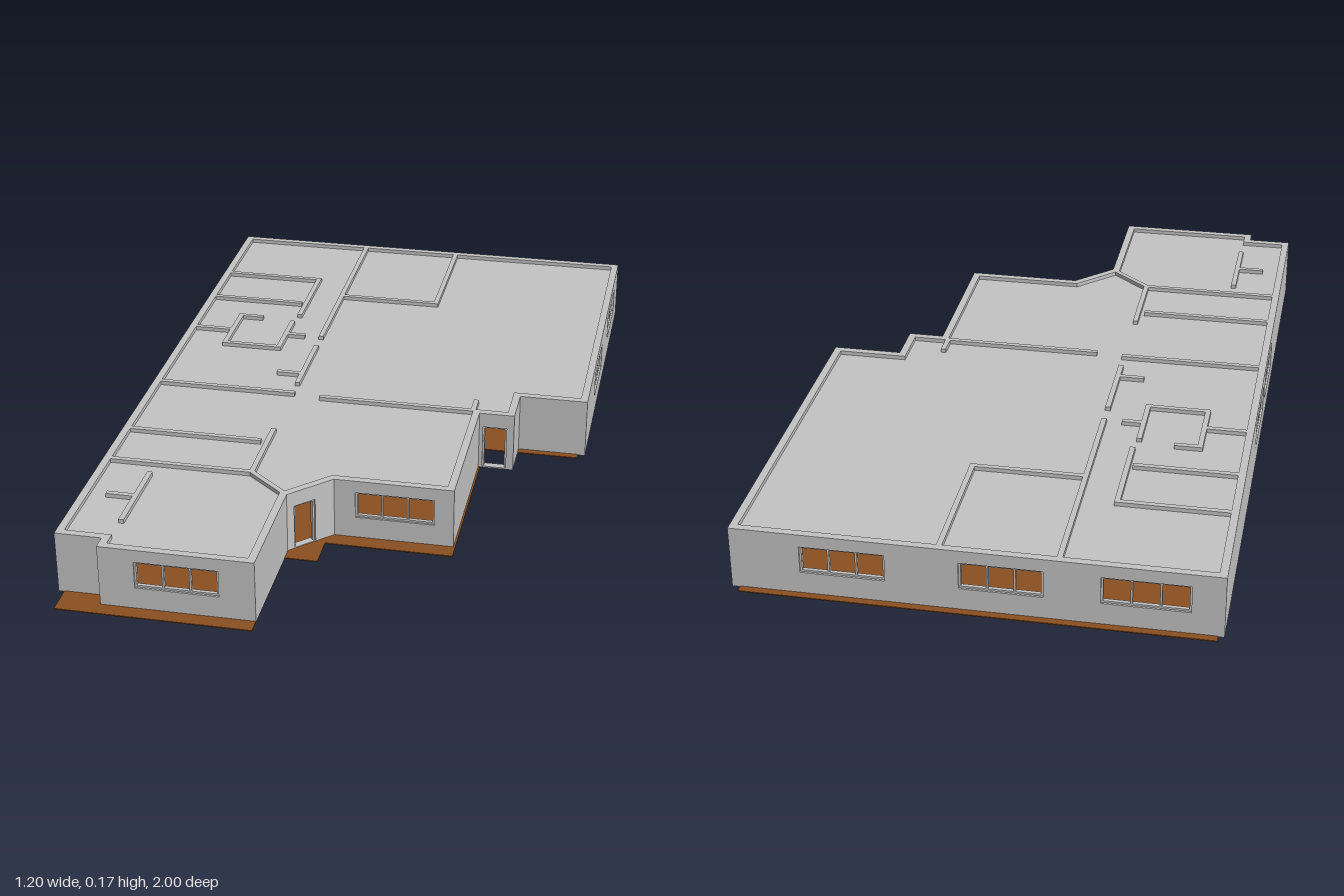
import * as THREE from 'three';

const H = 0.168, BASE = 0.002, T = 0.02, T_IN = 0.014;

export function createModel() {
  const model = new THREE.Group();
  model.name = 'singleStoreyBuilding';
  const mat = (name, color) => new THREE.MeshStandardMaterial({ name, color });
  const plaster = mat('grey plaster', 0xc4c4c4);
  const wood = mat('brown floor', 0x8b4f20);
  const tile = mat('grey tile', 0x868686);

  const add = (name, geo, material, parent = model) => {
    const mesh = new THREE.Mesh(geo, material);
    mesh.name = name;
    parent.add(mesh);
    return mesh;
  };
  // Horizontal plate from a plan outline of [x, z] points
  const plate = (name, pts, y, h, material) => {
    const shape = new THREE.Shape(pts.map(([x, z]) => new THREE.Vector2(x, -z)));
    const geo = new THREE.ExtrudeGeometry(shape, { depth: h, bevelEnabled: false });
    geo.rotateX(-Math.PI / 2).translate(0, y, 0);
    return add(name, geo, material);
  };
  const rect = (x0, z0, x1, z1) => [[x0, z0], [x1, z0], [x1, z1], [x0, z1]];

  // Floor, tiled rooms and recessed roof
  plate('floor', [[-0.585, -1], [0.58, -1], [0.58, 0], [0.325, 0], [0.325, 0.575], [-0.005, 0.575],
    [-0.005, 0.665], [-0.09, 0.665], [-0.09, 1], [-0.585, 1]], 0.001, 0.003, wood);
  plate('backTiledFloor', rect(-0.59, -0.69, -0.31, -0.2), 0, 0.005, tile);
  plate('frontTiledFloor', rect(-0.59, 0.36, -0.21, 0.53), 0, 0.005, tile);

  const outline = [[-0.6, -0.98], [0.6, -0.98], [0.6, -0.02], [0.415, -0.02], [0.415, 0.1], [0.32, 0.1],
    [0.32, 0.53], [0.01, 0.53], [-0.09, 0.63], [-0.09, 0.96], [-0.48, 0.96], [-0.48, 0.92], [-0.6, 0.92]];
  plate('roof', outline, 0.152, 0.005, plaster);

  // Openings by wall: start and end distance along it
  const windows = {
    0: [[0.08, 0.294], [0.432, 0.636], [0.816, 1.026]],
    1: [[0.115, 0.325], [0.515, 0.72]],
    6: [[0.05, 0.255]],
    9: [[0.09, 0.3]],
    12: [[0.625, 0.84], [0.89, 1.11]],
  };
  const doors = { 4: [[0.02, 0.085]], 7: [[0.057, 0.12]] };
  const WIN = [0.062, 0.134], DOOR = [0.006, 0.127];

  const hole = (a, b, [y0, y1]) => new THREE.Path([[a, y0], [a, y1], [b, y1], [b, y0]]
    .map(([x, y]) => new THREE.Vector2(x, y)));

  // Frame bars around an opening, with evenly spaced uprights
  const frame = (name, a, b, [y0, y1], panes, parent) => {
    const g = new THREE.Group();
    g.name = name;
    parent.add(g);
    const w = 0.005, d = 0.01;
    const bar = (x, y, sx, sy) =>
      add('frameBar', new THREE.BoxGeometry(sx, sy, d).translate(x, y, T / 2), plaster, g);
    for (let i = 0; i <= panes; i++) {
      bar(a + w / 2 + (b - a - w) * i / panes, (y0 + y1) / 2, w, y1 - y0);
    }
    bar((a + b) / 2, y1 - w / 2, b - a, w);
    if (panes > 1) bar((a + b) / 2, y0 + w / 2, b - a, w);
  };

  // Outer walls, thickened inwards and joined at inner corners
  const n = outline.length;
  const dirAt = (i) => {
    const p = outline[(i + n) % n], q = outline[(i + 1 + n) % n];
    return new THREE.Vector2(q[0] - p[0], q[1] - p[1]);
  };
  const joint = (i) => {
    const d0 = dirAt(i - 1).normalize(), d1 = dirAt(i).normalize();
    const turn = Math.atan2(d0.cross(d1), d0.dot(d1));
    return turn < 0 ? T * Math.tan(-turn / 2) : 0;
  };
  outline.forEach(([x, z], i) => {
    const dir = dirAt(i), len = dir.length();
    const s0 = -joint(i), s1 = len + joint(i + 1);
    const shape = new THREE.Shape([[s0, BASE], [s1, BASE], [s1, H], [s0, H]]
      .map(([a, b]) => new THREE.Vector2(a, b)));
    const g = new THREE.Group();
    g.name = 'outerWall' + (i + 1);
    g.position.set(x, 0, z);
    g.rotation.y = Math.atan2(-dir.y, dir.x);
    model.add(g);
    for (const [a, b] of windows[i] || []) {
      shape.holes.push(hole(a, b, WIN));
      frame('windowFrame', a, b, WIN, 3, g);
    }
    for (const [a, b] of doors[i] || []) {
      shape.holes.push(hole(a, b, DOOR));
      frame('doorFrame', a, b, DOOR, 1, g);
    }
    add('wallPanel', new THREE.ExtrudeGeometry(shape, { depth: T, bevelEnabled: false }), plaster, g);
  });

  // Partition walls: x0, z0, x1, z1
  const partitions = [
    [0.085, -0.97, 0.085, -0.585], [-0.205, -0.585, 0.085, -0.585], [-0.205, -0.97, -0.205, -0.295],
    [-0.59, -0.69, -0.3, -0.69], [-0.3, -0.69, -0.3, -0.43],
    [-0.59, -0.51, -0.32, -0.51],
    [-0.59, -0.29, -0.47, -0.29], [-0.31, -0.29, -0.26, -0.29],
    [-0.47, -0.39, -0.47, -0.2], [-0.47, -0.39, -0.41, -0.39],
    [-0.31, -0.37, -0.31, -0.2], [-0.47, -0.2, -0.31, -0.2],
    [-0.59, 0.075, -0.205, 0.075], [-0.205, -0.22, -0.205, 0.01], [-0.27, -0.045, -0.205, -0.045],
    [-0.59, 0.36, -0.23, 0.36],
    [-0.59, 0.53, -0.205, 0.53], [-0.205, 0.3, -0.205, 0.53], [-0.205, 0.53, -0.1, 0.62],
    [-0.46, 0.59, -0.46, 0.82], [-0.53, 0.705, -0.46, 0.705],
    [-0.12, 0.085, 0.3, 0.085], [0.3, 0.03, 0.3, 0.085],
  ];
  for (const [x0, z0, x1, z1] of partitions) {
    const len = Math.hypot(x1 - x0, z1 - z0) + T_IN;
    const wall = add('partitionWall', new THREE.BoxGeometry(len, H - BASE, T_IN), plaster);
    wall.position.set((x0 + x1) / 2, (H + BASE) / 2, (z0 + z1) / 2);
    wall.rotation.y = Math.atan2(z0 - z1, x1 - x0);
  }
  return model;
}
